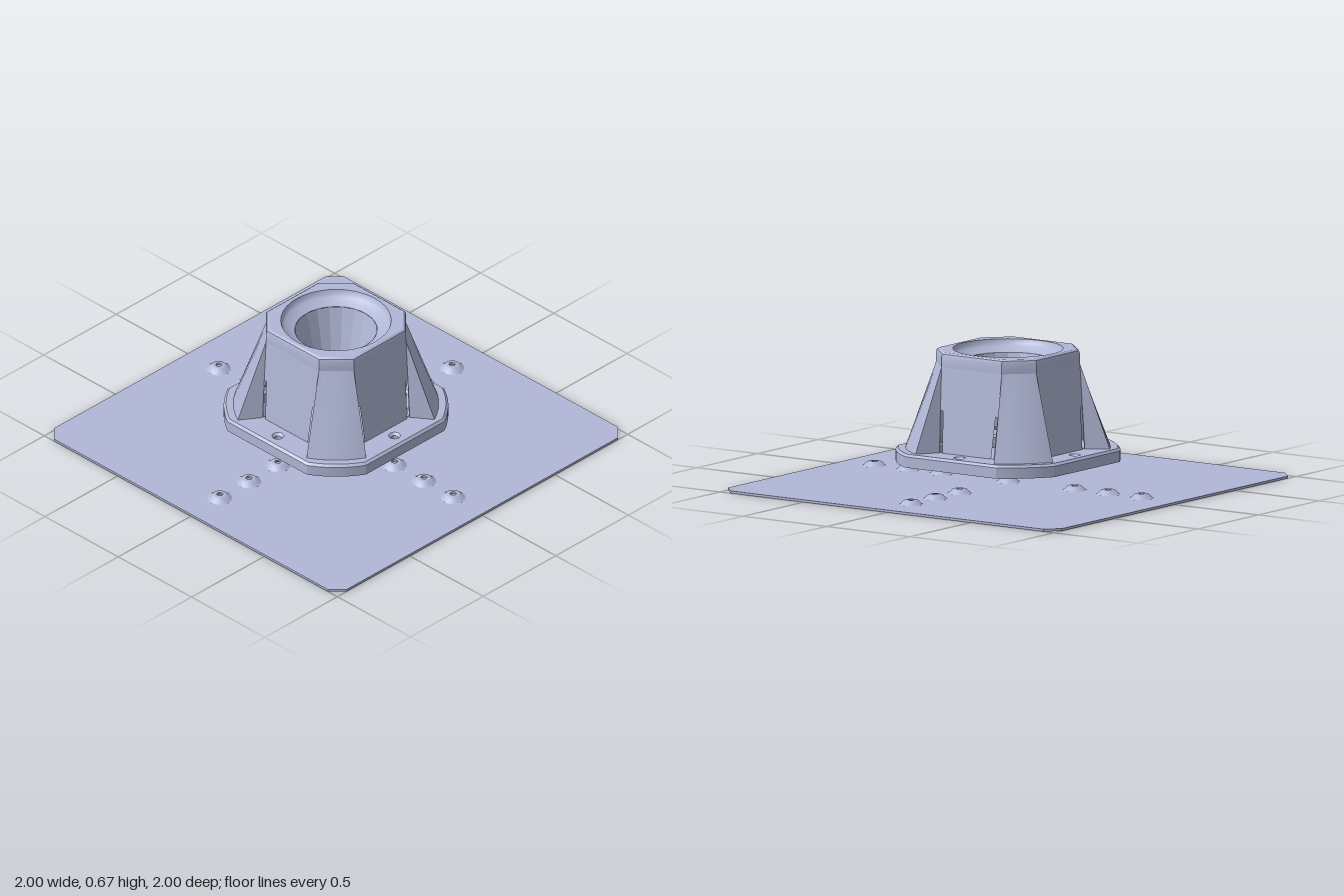
import * as THREE from 'three';
import { toCreasedNormals } from 'three/addons/utils/BufferGeometryUtils.js';

const metal = new THREE.MeshStandardMaterial({ color: 0xb0b7d6, side: THREE.DoubleSide });
const V = (x, y) => new THREE.Vector2(x, y);

function add(parent, name, geo, crease = 0.1) {
  const mesh = new THREE.Mesh(toCreasedNormals(geo, crease), metal);
  mesh.name = name;
  parent.add(mesh);
  return mesh;
}

// Circular hole for a shape
function hole(x, y, r) {
  return new THREE.Path().absarc(x, y, r, 0, Math.PI * 2, true);
}

// Square outline of half width a with cut corners; flats run to +-c
function octagon(a, c) {
  return [V(a, -c), V(a, c), V(c, a), V(-c, a), V(-a, c), V(-a, -c), V(-c, -a), V(c, -a)];
}

// Skin between rows of [x, y, z] points, later rows being higher
function loft(rows, closed) {
  const n = rows[0].length, index = [];
  for (let r = 0; r < rows.length - 1; r++) {
    for (let i = 0; i < (closed ? n : n - 1); i++) {
      const a = r * n + i, b = r * n + (i + 1) % n;
      index.push(a, b, b + n, a, b + n, a + n);
    }
  }
  const geo = new THREE.BufferGeometry();
  geo.setAttribute('position', new THREE.Float32BufferAttribute(rows.flat(2), 3));
  geo.setIndex(index);
  return geo;
}

const FOOT = 0.183, SHOULDER = 0.6;

// Sloping wall between two legs, with a narrow slit next to each leg
function pocketWall() {
  const right = [[0.165, 0.34]].map(() => V(0.165, FOOT)).concat([V(0.18, SHOULDER)]);
  const half = [V(0.145, FOOT), V(0.158, 0.39), V(0.17, 0.39), V(0.16, FOOT), ...right];
  const mirrored = half.map(p => V(-p.x, p.y)).reverse();
  const geo = new THREE.ShapeGeometry(new THREE.Shape([...half, ...mirrored]));
  const p = geo.attributes.position;
  for (let i = 0; i < p.count; i++) {
    const t = (p.getY(i) - FOOT) / (SHOULDER - FOOT);
    p.setZ(i, THREE.MathUtils.lerp(0.34, 0.3, t));
  }
  return geo;
}

// Splayed corner leg: round at the foot, a plain chamfer at the shoulder
function cornerLeg() {
  const low = [[0.165, FOOT, 0.34]], high = [[0.18, SHOULDER, 0.3]];
  const steps = 6, a0 = Math.atan2(0.44, 0.235), a1 = Math.atan2(0.235, 0.44);
  for (let i = 0; i <= steps; i++) {
    const t = i / steps, a = THREE.MathUtils.lerp(a0, a1, t);
    low.push([0.499 * Math.cos(a), FOOT, 0.499 * Math.sin(a)]);
    high.push([0.18 + 0.12 * t, SHOULDER, 0.3 - 0.12 * t]);
  }
  low.push([0.34, FOOT, 0.165]);
  high.push([0.3, SHOULDER, 0.18]);
  return loft([low, high], false);
}

// Mounting flange: flat sides, rounded corners, screw holes, open middle
function flangeGeometry() {
  const shape = new THREE.Shape();
  const R = Math.hypot(0.473, 0.27), d = Math.atan2(0.27, 0.473);
  for (let k = 0; k < 4; k++) {
    shape.absarc(0, 0, R, k * Math.PI / 2 + d, (k + 1) * Math.PI / 2 - d, false);
  }
  shape.closePath();
  shape.holes.push(new THREE.Path(octagon(0.315, 0.17).reverse()));
  for (const [x, y] of [[0.4, 0], [-0.4, 0], [0, 0.4], [0, -0.4]]) shape.holes.push(hole(x, y, 0.017));
  const geo = new THREE.ExtrudeGeometry(shape, {
    depth: 0.041, bevelThickness: 0.012, bevelSize: 0.012, bevelOffset: -0.012,
    bevelSegments: 1, curveSegments: 8,
  });
  // Keep the chamfer on the upper edge only
  const p = geo.attributes.position;
  for (let i = 0; i < p.count; i++) if (p.getZ(i) < 0.001) p.setZ(i, -0.012);
  return geo.rotateX(-Math.PI / 2).translate(0, 0.132, 0);
}

export function createModel() {
  const model = new THREE.Group();
  model.name = 'mountOnPlate';

  // Dimple positions form a cross
  const spots = [[0, 0]];
  for (const d of [0.4, 0.6, 0.8]) spots.push([d, 0], [-d, 0], [0, d], [0, -d]);

  // Base plate with clipped corners
  const base = new THREE.Group();
  base.name = 'basePlate';
  model.add(base);
  const plate = new THREE.Shape(octagon(1, 0.935));
  for (const [x, y] of spots) plate.holes.push(hole(x, y, 0.06));
  add(base, 'plate', new THREE.ExtrudeGeometry(plate, { depth: 0.012, bevelEnabled: false, curveSegments: 12 })
    .rotateX(-Math.PI / 2));

  // Pressed dimples with a small through hole
  const dimple = [V(0.06, 0), V(0.046, 0.003), V(0.026, 0.023), V(0.015, 0.024), V(0.015, 0.035),
    V(0.028, 0.035), V(0.036, 0.032), V(0.05, 0.018), V(0.06, 0.012)].reverse();
  for (const [x, z] of spots) {
    add(base, 'dimple', new THREE.LatheGeometry(dimple, 24), 0.6).position.set(x, 0, z);
  }

  // Hollow housing above the plate
  const housing = new THREE.Group();
  housing.name = 'housing';
  model.add(housing);
  add(housing, 'flange', flangeGeometry(), 0.4);
  for (let k = 0; k < 4; k++) {
    add(housing, 'pocketWall', pocketWall()).rotation.y = k * Math.PI / 2;
    add(housing, 'cornerLeg', cornerLeg(), 0.3).rotation.y = k * Math.PI / 2;
  }

  // Collar with a softened upper edge
  const ring = (a, c, y) => octagon(a, c).reverse().map(p => [p.x, y, p.y]);
  add(housing, 'collar', loft([
    ring(0.3, 0.18, SHOULDER), ring(0.3, 0.18, 0.65), ring(0.296, 0.178, 0.663), ring(0.285, 0.174, 0.67),
  ], true), 0.6);
  const top = new THREE.Shape(octagon(0.285, 0.174));
  top.holes.push(hole(0, 0, 0.268));
  add(housing, 'topFace', new THREE.ShapeGeometry(top, 20).rotateX(-Math.PI / 2).translate(0, 0.67, 0));

  // Shallow seat ring, then the tapering funnel
  add(housing, 'seatRing', new THREE.LatheGeometry(
    [V(0.2, 0.615), V(0.215, 0.622), V(0.25, 0.638), V(0.262, 0.65), V(0.268, 0.67)], 40), 0.6);
  add(housing, 'funnel', new THREE.LatheGeometry([V(0.12, 0.3), V(0.2, 0.615)], 20));

  return model;
}
